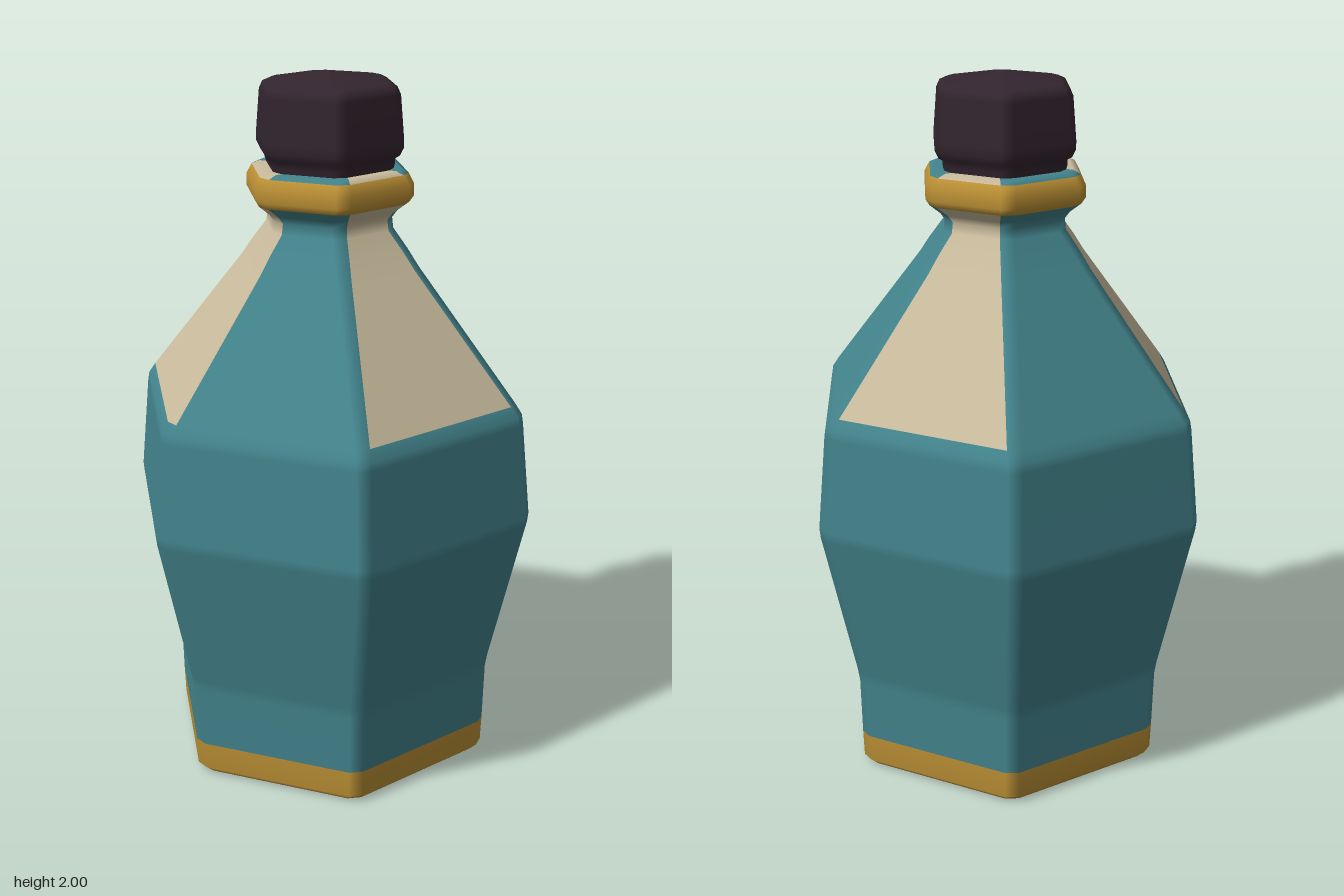
import * as THREE from 'three';

const paint = (name, color) => {
  const m = new THREE.MeshStandardMaterial({ color });
  m.name = name;
  return m;
};

// Sweeps a hexagon with bevelled corners up a profile of [apothem, y] points.
// Even columns are the six faces, odd columns the narrow corner bevels.
// partOf(segment, column) names the part that each quad belongs to.
function hexShell(profile, bevel, partOf, materials) {
  const normals = profile.map((p, i) => {
    // length-weighted profile normal, so long panels stay flat and edges look soft
    const a = profile[Math.max(i - 1, 0)];
    const b = profile[Math.min(i + 1, profile.length - 1)];
    const weigh = (u, v) => {
      const dx = v[0] - u[0], dy = v[1] - u[1], l = Math.hypot(dx, dy);
      return [dy * l, -dx * l];
    };
    const s = weigh(a, p), t = weigh(p, b);
    return new THREE.Vector2(s[0] + t[0], s[1] + t[1]).normalize();
  });

  const corner = (i, column) => {
    const c = (column + 12) % 12;
    const angle = Math.floor(c / 2) * Math.PI / 3;
    const [r, y] = profile[i];
    const half = Math.max(0, r * Math.tan(Math.PI / 6) - bevel / Math.cos(Math.PI / 6));
    const side = c % 2 ? half : -half;
    const cos = Math.cos(angle), sin = Math.sin(angle), n = normals[i];
    return {
      p: [r * cos - side * sin, y, r * sin + side * cos],
      n: [n.x * cos, n.y, n.x * sin],
    };
  };

  const parts = {};
  for (let i = 0; i < profile.length - 1; i++) {
    for (let c = 0; c < 12; c++) {
      const part = (parts[partOf(i, c)] ??= { p: [], n: [] });
      const a = corner(i, c), b = corner(i, c + 1);
      const d = corner(i + 1, c), e = corner(i + 1, c + 1);
      for (const v of [b, a, d, b, d, e]) {
        part.p.push(...v.p);
        part.n.push(...v.n);
      }
    }
  }

  return Object.entries(parts).map(([name, part]) => {
    const g = new THREE.BufferGeometry();
    g.setAttribute('position', new THREE.Float32BufferAttribute(part.p, 3));
    g.setAttribute('normal', new THREE.Float32BufferAttribute(part.n, 3));
    const mesh = new THREE.Mesh(g, materials[name]);
    mesh.name = name;
    return mesh;
  });
}

export function createModel() {
  const teal = paint('teal glaze', 0x43848d);
  const cream = paint('cream', 0xcabc9d);
  const gold = paint('gold', 0xbd9135);
  const dark = paint('dark stopper', 0x33252f);
  const model = new THREE.Group();
  model.name = 'bottle';

  // Bottle: base, belly, shoulder, neck and flared lip
  const bottle = [
    [0, 0], [0.405, 0], [0.425, 0.02], [0.428, 0.1],
    [0.432, 0.27], [0.438, 0.31], [0.527, 0.75], [0.53, 0.78],
    [0.507, 1.05], [0.503, 1.075], [0.485, 1.105],
    [0.235, 1.47], [0.205, 1.52], [0.168, 1.575], [0.165, 1.605],
    [0.178, 1.625], [0.208, 1.652], [0.219, 1.67],
    [0.219, 1.705], [0.205, 1.733], [0.185, 1.743], [0.12, 1.743],
  ];
  const creamColumns = [0, 3, 4, 8];
  const bottlePart = (i, c) => {
    if (i < 3) return 'baseBand';
    if (i >= 16 && i < 19) return 'collarBand';
    if (i >= 10 && creamColumns.includes(c)) return 'shoulderPanels';
    return 'body';
  };
  model.add(...hexShell(bottle, 0.02, bottlePart, {
    baseBand: gold, collarBand: gold, shoulderPanels: cream, body: teal,
  }));

  // Stopper: short plug under a faceted cap with a shallow peak
  const stopper = [
    [0.165, 1.735], [0.17, 1.755], [0.17, 1.77], [0.182, 1.778],
    [0.192, 1.8], [0.192, 1.825], [0.183, 1.945], [0.174, 1.966],
    [0.155, 1.976], [0, 2],
  ];
  model.add(...hexShell(stopper, 0.018, () => 'stopper', { stopper: dark }));

  return model;
}
